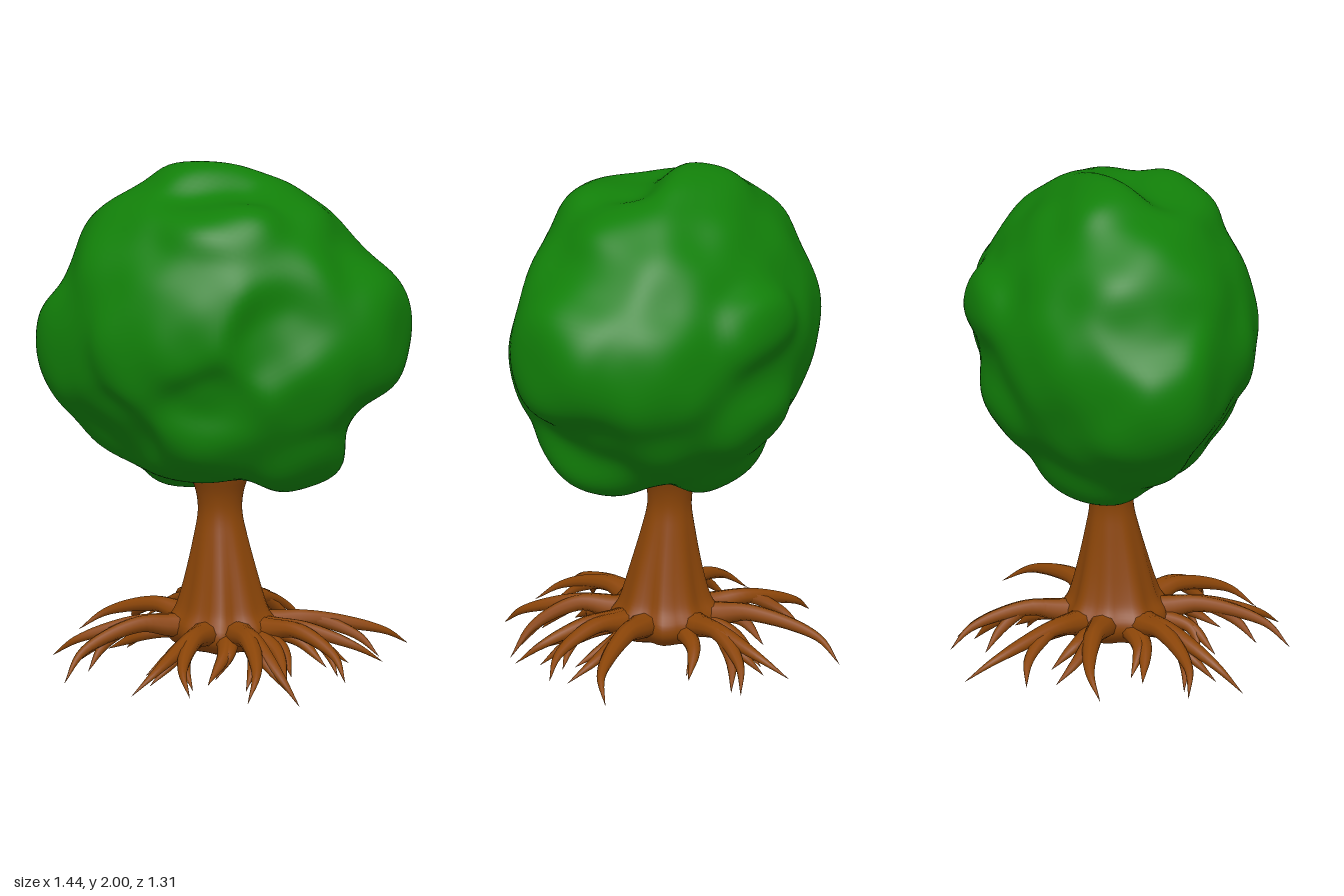
import * as THREE from 'three';
import { mergeVertices } from 'three/addons/utils/BufferGeometryUtils.js';

const V = (x, y, z) => new THREE.Vector3(x, y, z);
const polar = (angle, r, y) => V(Math.cos(angle) * r, y, Math.sin(angle) * r);
const leafMat = new THREE.MeshStandardMaterial({ color: 0x128009 });
const barkMat = new THREE.MeshStandardMaterial({ color: 0x8b4508 });

// Weld a geometry so that its normals come out smooth
function weld(geo) {
  geo.deleteAttribute('uv');
  geo.deleteAttribute('normal');
  return mergeVertices(geo, 1e-5);
}

// Lumpy crown: an ellipsoid pulled smoothly through the peaks of its lobes and the hollows between
function crownGeometry() {
  const centre = V(0, 1.36, 0), size = V(0.69, 0.62, 0.53);
  const lobes = [
    // top
    [-0.1, 2, -0.1], [0.05, 1.94, 0.3], [0.02, 1.86, 0.13], [0.33, 1.88, 0], [-0.42, 1.85, 0], [0, 1.86, -0.28],
    // sides
    [0.5, 1.69, 0], [0.7, 1.55, 0], [0.72, 1.28, 0.02], [0.52, 1.06, 0], [0.4, 0.8, 0.13],
    [-0.53, 1.77, 0], [-0.58, 1.58, 0], [-0.72, 1.33, 0.1], [-0.69, 1.15, 0], [-0.47, 0.9, 0],
    // underside
    [-0.16, 0.7, -0.14], [0, 0.79, 0.08], [-0.1, 0.79, 0.2],
    // back
    [0, 1.72, -0.4], [0.04, 1.5, -0.57], [0, 1.28, -0.5], [0, 1.08, -0.51], [0.5, 1.36, -0.4],
    [-0.43, 1.4, -0.41], [-0.58, 1.36, -0.25],
    // front
    [0, 1.6, 0.5], [-0.08, 1.42, 0.54], [0.03, 1.2, 0.45], [0, 0.97, 0.43], [0.27, 1.42, 0.41],
    [0.44, 1.25, 0.4], [-0.3, 1.36, 0.48], [-0.54, 1.36, 0.28], [-0.35, 1.03, 0.3],
  ].map(([x, y, z]) => {
    const dir = V(x, y, z).sub(centre);
    const scale = dir.clone().divide(size).length();
    return { dir: dir.normalize(), scale };
  });
  const geo = weld(new THREE.IcosahedronGeometry(1, 28));
  const pos = geo.attributes.position, d = V(0, 0, 0);
  for (let i = 0; i < pos.count; i++) {
    d.fromBufferAttribute(pos, i).multiply(size).normalize();
    let sum = 0.08 * 0.98, weight = 0.08;
    for (const lobe of lobes) {
      const w = Math.exp(45 * (d.dot(lobe.dir) - 1));
      sum += w * lobe.scale;
      weight += w;
    }
    const ripple = 0.018 * Math.sin(9 * d.x + 2) * Math.sin(8 * d.y + 1) * Math.sin(10 * d.z + 0.6);
    d.multiplyScalar((sum / weight + ripple) / d.clone().divide(size).length()).add(centre);
    pos.setXYZ(i, d.x, d.y, d.z);
  }
  geo.computeVertexNormals();
  return geo;
}

// Trunk: a flared lathe, ridged towards its foot
function trunkGeometry() {
  const profile = new THREE.SplineCurve([
    [0, 0.1], [0.14, 0.105], [0.2, 0.15], [0.205, 0.2], [0.175, 0.25], [0.155, 0.31], [0.13, 0.41],
    [0.103, 0.53], [0.085, 0.63], [0.092, 0.71], [0.118, 0.79], [0.13, 0.84],
  ].map(([r, y]) => new THREE.Vector2(r, y))).getPoints(44);
  const geo = weld(new THREE.LatheGeometry(profile, 48));
  const pos = geo.attributes.position;
  for (let i = 0; i < pos.count; i++) {
    const x = pos.getX(i), y = pos.getY(i), z = pos.getZ(i), a = Math.atan2(z, x);
    const k = 1 + 0.09 * Math.max(0, 0.7 - y) * (Math.sin(5 * a) + Math.sin(9 * a + 1));
    const lean = 0.015 * THREE.MathUtils.smoothstep(y, 0.25, 0.75);
    pos.setXYZ(i, x * k - lean, y, z * k - lean);
  }
  geo.computeVertexNormals();
  return geo;
}

// Tapered, slightly flattened tube along a curve; radii are spread evenly from start to tip
function taperedTube(points, radii, name) {
  const curve = new THREE.CatmullRomCurve3(points), rings = 24, sides = 9;
  const geo = new THREE.TubeGeometry(curve, rings, 1, sides);
  const pos = geo.attributes.position, v = V(0, 0, 0);
  for (let i = 0; i <= rings; i++) {
    const u = i / rings, c = curve.getPointAt(u);
    const t = u * (radii.length - 1), k = Math.min(Math.floor(t), radii.length - 2);
    const r = THREE.MathUtils.lerp(radii[k], radii[k + 1], t - k);
    for (let j = 0; j <= sides; j++) {
      const n = i * (sides + 1) + j;
      v.fromBufferAttribute(pos, n).sub(c).multiplyScalar(r);
      v.y *= 0.8;
      v.add(c);
      pos.setXYZ(n, v.x, v.y, v.z);
    }
  }
  const mesh = new THREE.Mesh(geo, barkMat);
  mesh.name = name;
  return mesh;
}

// Arched root running to its far tip, with a second prong growing out of its crest
function forkedRoot(angle, tip, prongTip) {
  const root = new THREE.Group();
  root.name = 'forkedRoot';
  const crest = polar(angle, 0.33, 0.205);
  const shoulder = (end) => {
    const r = Math.hypot(end.x, end.z), bend = polar(angle, r * 0.76, 0);
    return V(end.x * 0.4 + bend.x * 0.6, 0.115 + end.y * 0.4, end.z * 0.4 + bend.z * 0.6);
  };
  root.add(taperedTube(
    [polar(angle, 0.1, 0.185), polar(angle, 0.21, 0.195), crest, shoulder(tip), tip],
    [0.07, 0.055, 0.04, 0.034, 0.026, 0.014, 0.0005], 'mainRoot'));
  root.add(taperedTube(
    [polar(angle, 0.22, 0.195), crest, shoulder(prongTip), prongTip],
    [0.03, 0.032, 0.028, 0.018, 0.0005], 'prong'));
  return root;
}

export function createModel() {
  const tree = new THREE.Group();
  tree.name = 'tree';
  const crown = new THREE.Mesh(crownGeometry(), leafMat);
  crown.name = 'crown';
  const trunk = new THREE.Mesh(trunkGeometry(), barkMat);
  trunk.name = 'trunk';
  tree.add(crown, trunk);

  // Far tip of each main root
  const farTips = [
    [0.63, 0.08, 0.05], [0.53, 0.06, 0.3], [0.38, 0, 0.45], [0.21, 0.05, 0.62], [-0.01, 0.07, 0.65],
    [-0.24, 0.06, 0.63], [-0.55, 0.02, 0.36], [-0.64, 0.06, 0.12], [-0.6, 0.07, -0.22],
    [-0.25, 0.06, -0.66], [0.03, 0.08, -0.64], [0.22, 0.05, -0.56], [0.67, 0.07, -0.26],
  ];
  farTips.forEach(([x, y, z], i) => {
    const tipAngle = Math.atan2(z, x), side = i % 2 ? -1 : 1;
    const angle = tipAngle + 0.16 * side;
    // The second prong is shorter and swings to alternating sides
    const prong = polar(tipAngle + 0.34 * side, Math.hypot(x, z) * 0.84, 0.06 + 0.02 * Math.sin(i * 1.7));
    tree.add(forkedRoot(angle, V(x, y, z), prong));
    // Shorter root tucked underneath, beside each main root
    const a = angle + 0.24, reach = 0.4 + 0.05 * Math.sin(i * 2.3);
    tree.add(taperedTube(
      [polar(a, 0.08, 0.16), polar(a, 0.2, 0.165), polar(a + 0.05, 0.3, 0.14), polar(a + 0.2, reach, 0.06)],
      [0.055, 0.044, 0.032, 0.02, 0.0005], 'lowerRoot'));
  });
  return tree;
}
